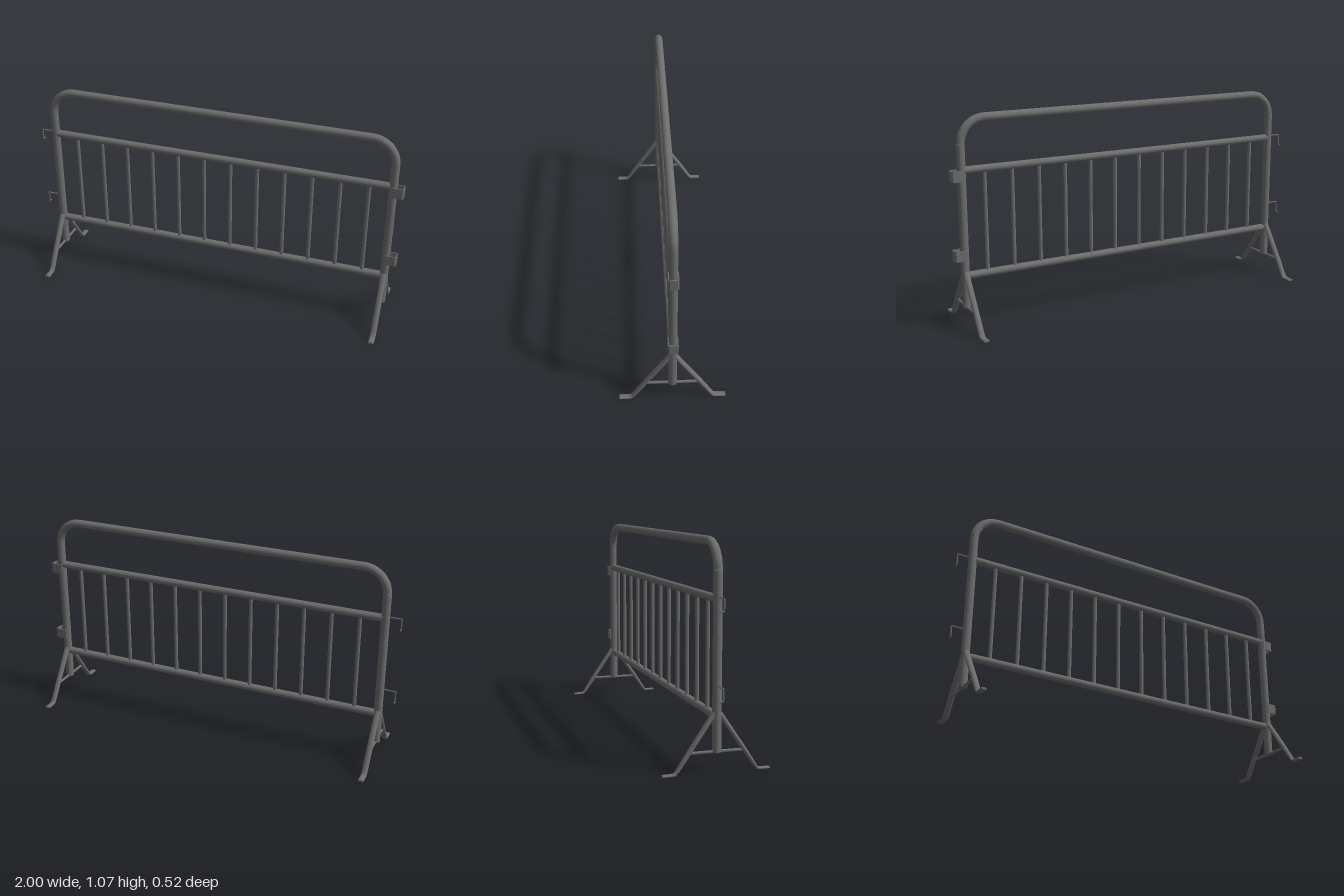
import * as THREE from 'three';

const steel = new THREE.MeshStandardMaterial({ color: 0x6e6e6e });
steel.name = 'grey steel';

const V = (x, y, z) => new THREE.Vector3(x, y, z);

function add(parent, name, geometry) {
  const mesh = new THREE.Mesh(geometry, steel);
  mesh.name = name;
  parent.add(mesh);
  return mesh;
}

// Straight round bar between two points
function bar(parent, name, a, b, radius, sides = 12) {
  const mesh = add(parent, name, new THREE.CylinderGeometry(radius, radius, a.distanceTo(b), sides));
  mesh.position.copy(a).lerp(b, 0.5);
  mesh.quaternion.setFromUnitVectors(V(0, 1, 0), b.clone().sub(a).normalize());
  return mesh;
}

// Tube in the yz plane with elliptical sections: [z, y, halfWidth, halfThickness, normalAngle]
function flattenedTube(sections, sides = 12) {
  const pos = [], index = [];
  const point = ([z, y, w, t, a], k) => {
    const u = (k / sides) * Math.PI * 2, n = Math.sin(u) * t;
    return [Math.cos(u) * w, y + n * Math.sin(a), z + n * Math.cos(a)];
  };
  sections.forEach((s) => { for (let k = 0; k < sides; k++) pos.push(...point(s, k)); });
  for (let i = 0; i < sections.length - 1; i++) {
    for (let k = 0; k < sides; k++) {
      const a = i * sides + k, b = i * sides + (k + 1) % sides;
      index.push(a, b, a + sides, b, b + sides, a + sides);
    }
  }
  // End caps with their own vertices
  [0, sections.length - 1].forEach((i) => {
    const start = pos.length / 3;
    for (let k = 0; k < sides; k++) pos.push(...point(sections[i], k));
    for (let k = 1; k < sides - 1; k++) {
      if (i === 0) index.push(start, start + k + 1, start + k);
      else index.push(start, start + k, start + k + 1);
    }
  });
  const g = new THREE.BufferGeometry();
  g.setAttribute('position', new THREE.Float32BufferAttribute(pos, 3));
  g.setIndex(index);
  g.computeVertexNormals();
  return g;
}

export function createModel() {
  const model = new THREE.Group();
  model.name = 'crowdBarrier';
  const L = -0.915, R = 0.94, top = 1.05, bend = 0.125;

  // Bent outer frame: two posts joined by the top bar
  const path = new THREE.CurvePath();
  const corner = (x, s) => {
    const pts = [];
    for (let i = 0; i <= 8; i++) {
      const a = (i / 8) * Math.PI / 2;
      pts.push(V(x + s * bend * (1 - Math.cos(a)), top - bend + bend * Math.sin(a), 0));
    }
    return pts;
  };
  const bends = [...corner(L, 1), ...corner(R, -1).reverse()];
  for (let i = 0; i < bends.length - 1; i++) path.add(new THREE.LineCurve3(bends[i], bends[i + 1]));
  add(model, 'topBar', new THREE.TubeGeometry(path, 120, 0.0215, 14));
  for (const x of [L, R]) bar(model, 'post', V(x, 0.1, 0), V(x, top - bend, 0), 0.0215, 14);

  // Horizontal rails and upright bars
  bar(model, 'upperRail', V(L, 0.797, 0), V(R, 0.797, 0), 0.0195);
  bar(model, 'lowerRail', V(L, 0.264, 0), V(R, 0.264, 0), 0.0195);
  for (let i = 0; i < 12; i++) {
    const x = -0.787 + i * 0.1462;
    bar(model, 'uprightBar', V(x, 0.27, 0), V(x, 0.79, 0), 0.0105, 8);
  }

  // Splayed legs with flattened feet, and a brace across each pair
  const slope = 0.6;
  const leg = flattenedTube([
    [0.004, 0.302, 0.014, 0.007, slope],
    [0.018, 0.272, 0.0155, 0.012, slope],
    [0.135, 0.102, 0.0155, 0.0115, slope],
    [0.186, 0.026, 0.0155, 0.009, slope],
    [0.2, 0.009, 0.0155, 0.0075, 1.1],
    [0.22, 0.007, 0.0155, 0.0062, Math.PI / 2],
    [0.259, 0.007, 0.0155, 0.006, Math.PI / 2],
  ]);
  for (const x of [L, R]) {
    const stand = new THREE.Group();
    stand.name = 'stand';
    stand.position.x = x;
    for (const turn of [0, Math.PI]) add(stand, 'leg', leg).rotation.y = turn;
    bar(stand, 'brace', V(0, 0.102, -0.135), V(0, 0.102, 0.135), 0.0075, 8);
    model.add(stand);
  }

  // Coupling loops on one post, hooks on the other
  const band = new THREE.Shape();
  band.moveTo(0.935, -0.025).lineTo(0.99, -0.025).lineTo(0.997, -0.018).lineTo(0.997, 0.018)
    .lineTo(0.99, 0.025).lineTo(0.935, 0.025).lineTo(0.935, 0.0205).lineTo(0.988, 0.0205)
    .lineTo(0.992, 0.0165).lineTo(0.992, -0.0165).lineTo(0.988, -0.0205).lineTo(0.935, -0.0205);
  const loop = new THREE.ExtrudeGeometry(band, { depth: 0.055, bevelEnabled: false });
  loop.rotateX(-Math.PI / 2);
  for (const y of [0.345, 0.745]) {
    add(model, 'couplingLoop', loop).position.y = y;
    const hook = new THREE.Group();
    hook.name = 'hook';
    const pts = [V(L, y + 0.061, 0), V(-0.996, y + 0.061, 0), V(-0.996, y + 0.005, 0), V(-0.996, y + 0.002, -0.016)];
    for (let i = 0; i < 3; i++) bar(hook, 'hookRod', pts[i], pts[i + 1], 0.004, 8);
    model.add(hook);
  }
  return model;
}
